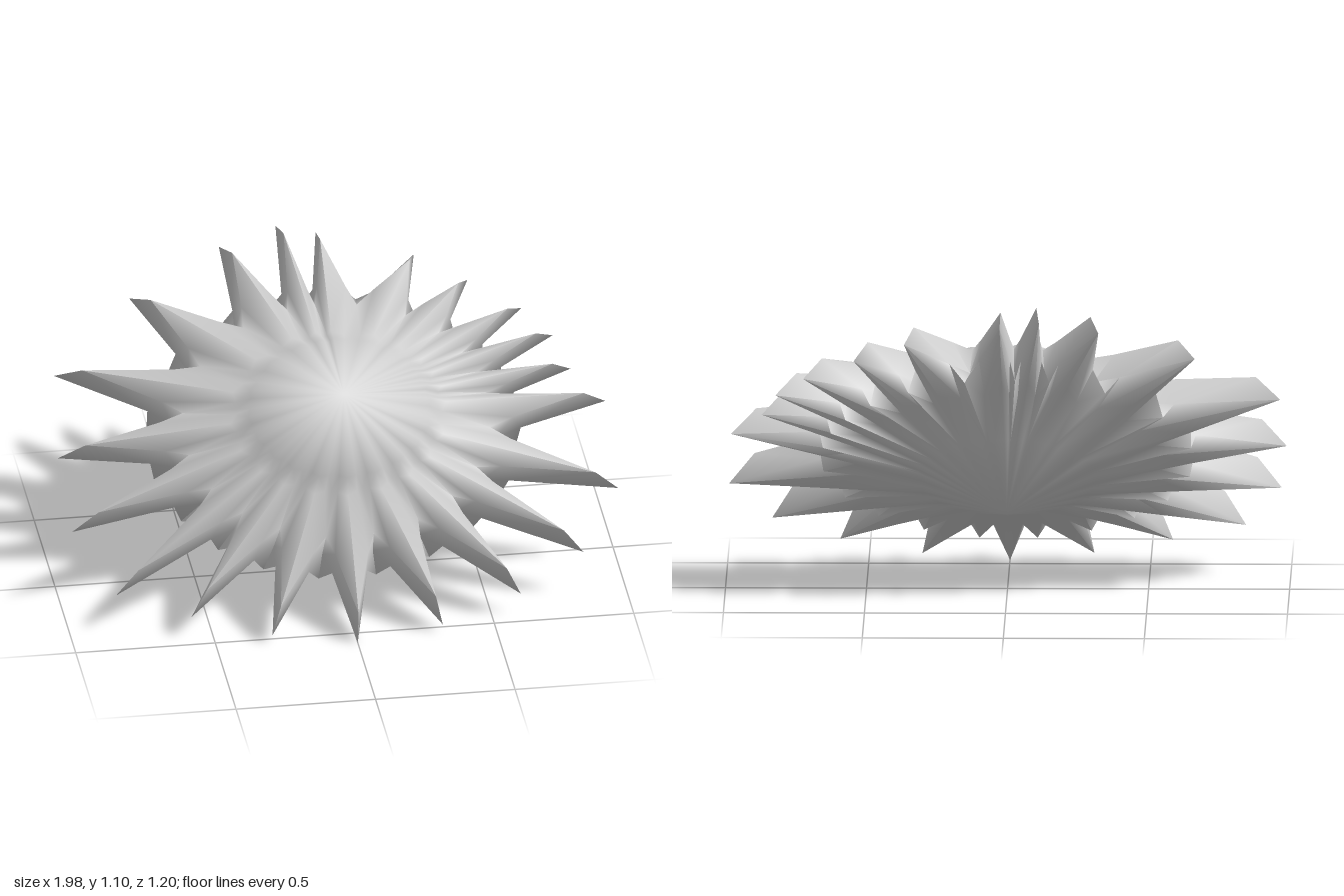
import * as THREE from 'three';
import { toCreasedNormals } from 'three/addons/utils/BufferGeometryUtils.js';

// Spike tips in the plane of the tilted disc (across, up)
const TIPS = [
  [0, -0.8], [0.31, -0.755], [0.6, -0.66], [0.84, -0.52], [0.99, -0.29],
  [0.98, 0.04], [0.87, 0.17], [0.82, 0.3], [0.72, 0.41], [0.54, 0.53], [0.36, 0.64],
  [0.02, 0.75], [-0.12, 0.785], [-0.33, 0.72], [-0.67, 0.55], [-0.97, 0.28],
  [-0.99, -0.03], [-0.97, -0.31], [-0.84, -0.56], [-0.58, -0.66], [-0.3, -0.75],
];
const SQUASH = 0.8;

// Rings from front to back: height, radius on a spike, beside the valley, in the valley
const RINGS = [
  [0.345, 0, 0, 0],             // front point
  [0.2, 0.33, 0.32, 0.31],      // shoulder
  [0.145, 0.39, 0.37, 0.36],    // fold under the shoulder
  [0.07, 0.91, 0.63, 0.55],     // front edge of the spikes
  [-0.04, 1, 0.67, 0.58],       // back edge of the spikes
  [-0.12, 0.66, 0.54, 0.66],    // small spikes between the large ones
  [-0.195, 0.32, 0.31, 0.31],   // back cone
  [-0.345, 0, 0, 0],            // back point
];

// Four meridians per spike: tip, side, valley, side
function meridians() {
  const polar = TIPS.map(([x, u]) => ({
    a: Math.atan2(x, -u / SQUASH),
    r: Math.hypot(x, u / SQUASH),
  }));
  const list = [];
  polar.forEach((p, k) => {
    const next = polar[(k + 1) % polar.length];
    let span = next.a - p.a;
    if (span < 0) span += Math.PI * 2;
    [[0, 1], [0.3, 2], [0.5, 3], [0.7, 2]].forEach(([t, column]) => {
      list.push({ a: p.a + span * t, r: column === 1 ? p.r : 1, column });
    });
  });
  return list;
}

function starGeometry() {
  const around = meridians();
  const n = around.length;
  const point = (i, j) => {
    const m = around[j % n];
    const isSpike = i >= 3 && i <= 5;
    const r = RINGS[i][m.column] * (isSpike ? m.r : 1);
    return [r * Math.sin(m.a), -r * Math.cos(m.a) * SQUASH, RINGS[i][0]];
  };
  const positions = [];
  for (let i = 0; i < RINGS.length - 1; i++) {
    for (let j = 0; j < n; j++) {
      const a = point(i, j), b = point(i, j + 1);
      const c = point(i + 1, j + 1), d = point(i + 1, j);
      // Split each quad along the spike side so that both flanks mirror
      if (j % 4 < 2) {
        if (i < RINGS.length - 2) positions.push(...a, ...d, ...c);
        if (i > 0) positions.push(...a, ...c, ...b);
      } else {
        if (i < RINGS.length - 2) positions.push(...b, ...d, ...c);
        if (i > 0) positions.push(...a, ...d, ...b);
      }
    }
  }
  const geometry = new THREE.BufferGeometry();
  geometry.setAttribute('position', new THREE.Float32BufferAttribute(positions, 3));
  return geometry;
}

export function createModel() {
  const group = new THREE.Group();
  group.name = 'spikyStar';

  // Tilt the disc so that its front point looks up and forward
  const tilt = new THREE.Matrix4().makeBasis(
    new THREE.Vector3(1, 0, 0),
    new THREE.Vector3(0, 0.67, -0.742),
    new THREE.Vector3(0, 0.742, 0.67),
  );
  tilt.setPosition(0, 0.568, 0.005);

  // A wide crease angle keeps the flanks of the spikes smooth
  const geometry = toCreasedNormals(starGeometry().applyMatrix4(tilt), 1.8);
  const star = new THREE.Mesh(
    geometry,
    new THREE.MeshStandardMaterial({ color: 0xcccccc, side: THREE.DoubleSide }),
  );
  star.name = 'starBody';
  group.add(star);
  return group;
}
